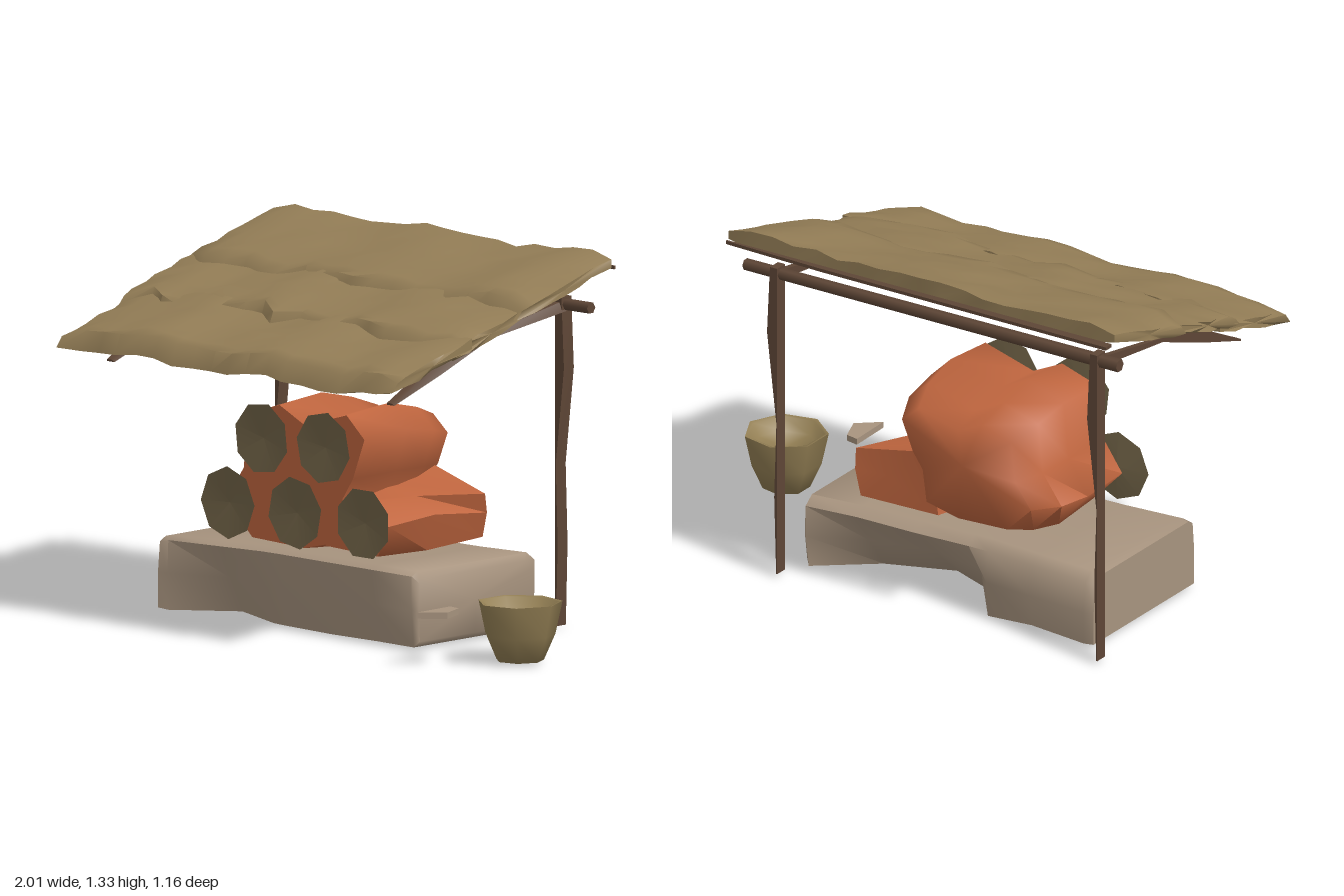
import * as THREE from 'three';
import { toCreasedNormals } from 'three/addons/utils/BufferGeometryUtils.js';

const mat = (name, color, side = THREE.FrontSide) => {
  const m = new THREE.MeshStandardMaterial({ color, side });
  m.name = name;
  return m;
};

// Solid skinned through a list of closed rings, capped at both ends.
function loft(rings, crease = 0.7) {
  const n = rings[0].length, pos = rings.flat(), idx = [];
  const centre = (r) => [0, 1, 2].map((k) => r.reduce((s, p) => s + p[k], 0) / n);
  for (let i = 0; i < rings.length - 1; i++) {
    for (let j = 0; j < n; j++) {
      const a = i * n + j, b = i * n + (j + 1) % n;
      idx.push([a, b, a + n], [b, b + n, a + n]);
    }
  }
  const last = (rings.length - 1) * n;
  pos.push(centre(rings[0]), centre(rings[rings.length - 1]));
  for (let j = 0; j < n; j++) {
    const k = (j + 1) % n;
    idx.push([pos.length - 2, k, j], [pos.length - 1, last + j, last + k]);
  }
  // make every face point outwards
  let vol = 0;
  const v = pos.map((p) => new THREE.Vector3(...p));
  for (const [a, b, c] of idx) vol += v[a].dot(v[b].clone().cross(v[c]));
  const faces = vol < 0 ? idx.map(([a, b, c]) => [a, c, b]) : idx;
  const g = new THREE.BufferGeometry();
  g.setAttribute('position', new THREE.Float32BufferAttribute(pos.flat(), 3));
  g.setIndex(faces.flat());
  return toCreasedNormals(g, crease);
}

export function createModel() {
  const group = new THREE.Group();
  const thatch = mat('thatch', 0x937d56);
  const stone = mat('stone', 0xa8947f);
  const clay = mat('clay', 0xc0663f);
  const wood = mat('darkWood', 0x5e4636, THREE.DoubleSide);
  const lidMat = mat('lidOlive', 0x726448, THREE.DoubleSide);
  const bowlMat = mat('bowlOlive', 0x937f54, THREE.DoubleSide);
  const add = (name, geo, material, x = 0, y = 0, z = 0) => {
    const m = new THREE.Mesh(geo, material);
    m.name = name;
    m.position.set(x, y, z);
    group.add(m);
  };
  let seed = 7;
  const rnd = () => {
    seed = (seed * 16807) % 2147483647;
    return (seed / 2147483647) * 2 - 1;
  };

  // Sloping roof: three overlapping ragged thatch layers, [back z, front z, front raggedness]
  const slope = (z) => 1.135 - 0.3 * z;
  const layers = [[-0.53, -0.065, 0.03], [-0.14, 0.245, 0.035], [0.16, 0.565, 0.01]];
  layers.forEach(([z0, z1, ragged], layer) => {
    const rings = [], cols = 18, rows = 6;
    for (let i = 0; i <= cols; i++) {
      const front = z1 + rnd() * ragged, back = z0 + rnd() * 0.008;
      const wave = 0.009 * Math.sin(i * 0.9 + layer * 2) + 0.005 * rnd();
      const end = i === 0 || i === cols;
      const endShift = end ? rnd() * 0.02 - 0.005 : 0;
      const top = [], bottom = [];
      for (let j = 0; j <= rows; j++) {
        const t = j / rows, z = back + (front - back) * t;
        const x = -0.985 + 1.585 * i / cols + endShift + (end ? rnd() * 0.012 : 0);
        const pinch = end ? 0.5 : 1;
        const y = slope(z) + wave;
        // the front lip leans back so its face shows from above
        const lean = j === rows ? 0.028 : 0;
        top.push([x, y + (0.022 + 0.026 * t + rnd() * 0.008) * pinch, z - lean]);
        bottom.unshift([x, y - (j === rows ? 0.02 : 0.038 + rnd() * 0.012) * pinch, z]);
      }
      rings.push([...top, ...bottom]);
    }
    add('thatchLayer' + layer, loft(rings, 1.0), thatch);
  });

  // Thin tapering batten behind the roof ridge
  add('ridgeBatten', loft([[-1, 0.018, 0], [0.2, 0.012, 0.003], [0.6, 0.004, 0.01]].map(
    ([x, w, dz]) => [[x, 1.265, -0.565 + dz - w], [x, 1.265, -0.565 + dz + w],
      [x, 1.277, -0.565 + dz + w], [x, 1.277, -0.565 + dz - w]])), wood);

  // Rear cross beam
  const beam = new THREE.CylinderGeometry(0.024, 0.021, 1.56, 6).rotateZ(Math.PI / 2);
  add('crossBeam', beam, wood, -0.18, 1.143, -0.435);

  // Thin posts and the rafters that run forward from them
  const postShape = [[0.01, 0.004], [0.3, 0.012], [0.58, 0.003], [0.92, 0.042], [1.17, 0.03]];
  const rafterShape = [[-0.43, 1.155, 1.12], [-0.05, 1.085, 1.07], [0.2, 1.025, 0.975], [0.44, 0.9, 0.893]];
  for (const x of [-0.882, 0.452]) {
    add('post', loft(postShape.map(([y, w]) =>
      [[x, y, -0.46], [x + w, y, -0.46], [x + w, y, -0.41], [x, y, -0.41]])), wood);
    add('rafter', loft(rafterShape.map(([z, a, b]) =>
      [[x, b, z], [x + 0.035, b, z], [x + 0.02, a, z], [x, a, z]])), wood);
  }

  // Long stone slab, undercut behind and dented in front:
  // [x, front z low, front z high, back z high, back z low, low y, high y]
  const slab = [
    [-0.8, 0.27, 0.26, -0.34, -0.36, 0.015, 0.262], [-0.76, 0.26, 0.26, -0.35, -0.36, 0.01, 0.27],
    [-0.53, 0.13, 0.24, -0.34, -0.34, 0.015, 0.272], [-0.34, 0.17, 0.23, -0.33, -0.33, 0, 0.275],
    [-0.26, 0.18, 0.23, -0.33, -0.16, 0, 0.275], [-0.04, 0.2, 0.24, -0.34, -0.07, 0, 0.275],
    [0.2, 0.22, 0.25, -0.34, -0.17, 0.005, 0.275], [0.4, 0.25, 0.26, -0.36, -0.34, 0.01, 0.275],
    [0.42, 0.24, 0.24, -0.33, -0.32, 0.03, 0.25]];
  add('stoneSlab', loft(slab.map(([x, fl, fh, bh, bl, lo, hi]) => [
    [x, lo, fl], [x, 0.14, (fl + fh) / 2 + 0.005], [x, hi - 0.015, fh], [x, hi, fh - 0.03], [x, hi, bh + 0.04],
    [x, hi - 0.03, bh], [x, 0.13, (bh + bl) / 2 - 0.01], [x, lo, bl], [x, lo, (fl + bl) / 2]]), 1.1), stone);

  // Heap of clay pots fused into one rounded mass
  const outline = [[-0.45, 0.29], [-0.2, 0.28], [-0.04, 0.32], [-0.02, 0.48], [0.03, 0.56], [0.085, 0.71],
    [0, 0.79], [-0.2, 0.73], [-0.32, 0.79], [-0.47, 0.74], [-0.49, 0.54], [-0.57, 0.42]];
  const heap = [[0.165, 1, 0.96], [-0.05, 1, 1.03], [-0.2, 0.97, 0.9], [-0.32, 0.82, 0.74]];
  add('clayPotHeap', loft(heap.map(([z, sx, sy]) => outline.map(
    ([x, y]) => [-0.25 + (x + 0.25) * sx, 0.52 + (y - 0.53) * sy, z])), 1.35), clay);
  add('clayPotSide', loft([
    [[-0.1, 0.3, 0.165], [0.15, 0.29, 0.165], [0.2, 0.4, 0.165], [0.08, 0.47, 0.165], [-0.1, 0.45, 0.165]],
    [[-0.12, 0.28, -0.05], [0.18, 0.29, -0.05], [0.22, 0.42, -0.05], [0.13, 0.475, -0.05], [-0.1, 0.5, -0.05]],
    [[-0.12, 0.32, -0.31], [0.21, 0.31, -0.3], [0.24, 0.4, -0.29], [0.25, 0.47, -0.27], [-0.08, 0.55, -0.31]],
  ], 1.2), clay);

  // Five nearly flat octagonal lids at the pot mouths
  for (const [x, y] of [[-0.515, 0.41], [-0.195, 0.41], [0.13, 0.41], [-0.355, 0.655], [-0.06, 0.655]]) {
    const lid = new THREE.ConeGeometry(0.128, 0.012, 8, 1, true).rotateX(-Math.PI / 2);
    add('potLid', lid.rotateZ(x * 3), lidMat, x, y, 0.214);
  }

  // Small seven-sided bowl, hollow and filled part of the way up
  const profile = [[0, 0.01], [0.085, 0.01], [0.125, 0.1], [0.15, 0.215], [0.135, 0.212], [0.115, 0.165], [0, 0.155]]
    .map((p) => new THREE.Vector2(...p));
  add('bowl', toCreasedNormals(new THREE.LatheGeometry(profile, 7, Math.PI / 2), 1.2), bowlMat, 0.846, 0, 0.187);

  // Loose stone flake beside the bowl
  const flake = [[0.636, 0.315], [0.684, 0.325], [0.72, 0.42], [0.64, 0.487]];
  add('stoneFlake', loft([0.168, 0.19].map((y) => flake.map(([x, z]) => [x, y, z]))), stone);

  return group;
}
